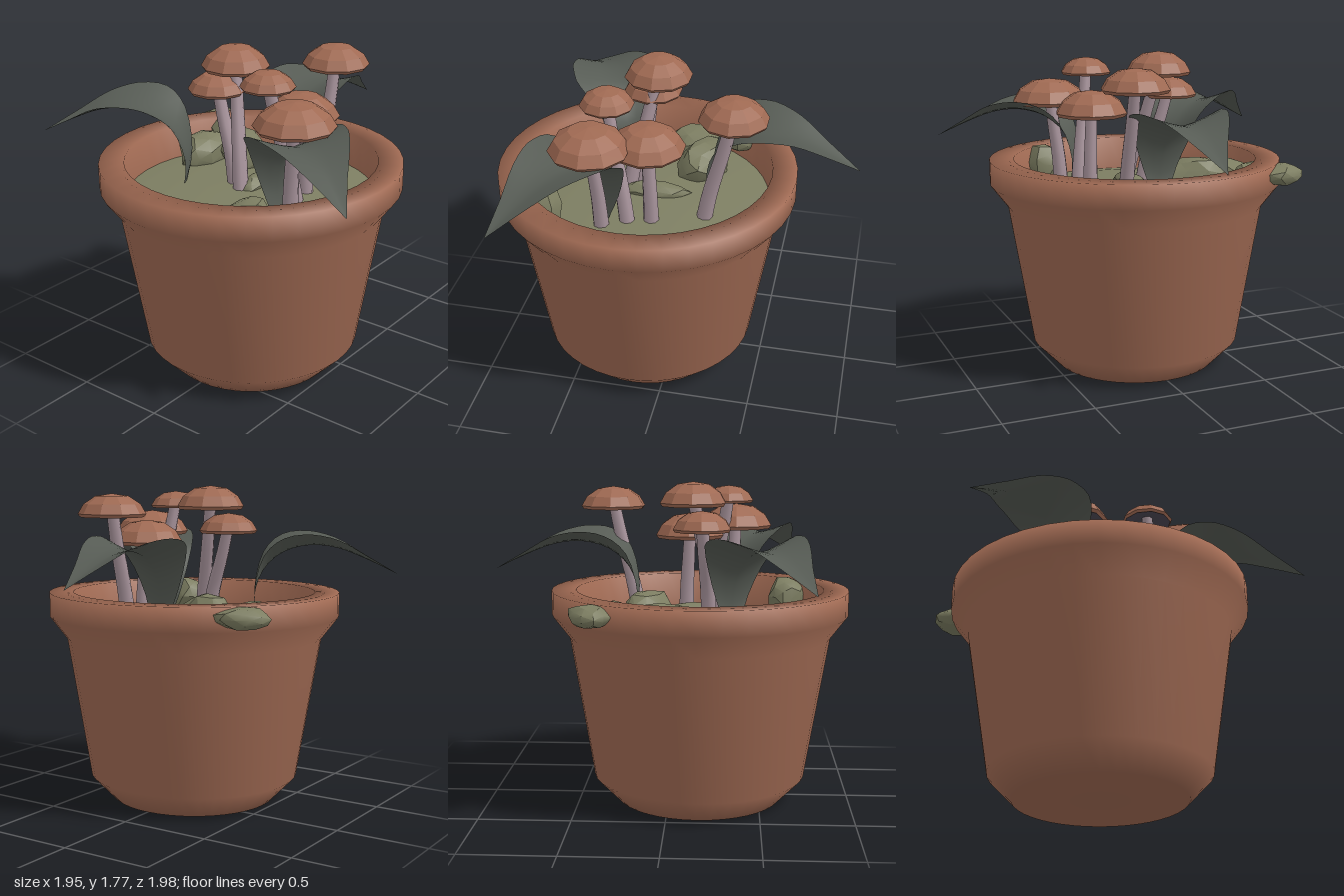
import * as THREE from 'three';
import { mergeVertices, toCreasedNormals } from 'three/addons/utils/BufferGeometryUtils.js';

const paint = (name, color, extra = {}) => {
  const m = new THREE.MeshStandardMaterial({ color, ...extra });
  m.name = name;
  return m;
};
const terracotta = paint('terracotta', 0xa06a53);
const moss = paint('mossy soil', 0x7d7e62);
const leafGreen = paint('leaf grey green', 0x565b54, { side: THREE.DoubleSide });
const stemMauve = paint('stem mauve', 0xa8949c);
const gillDark = paint('gill plum', 0x4c4753);

const POT_X = -0.165;

const lathe = (pts, sides) =>
  new THREE.LatheGeometry(pts.map(([x, y]) => new THREE.Vector2(x, y)), sides);

function facet(geo) {
  const g = geo.toNonIndexed();
  g.computeVertexNormals();
  return g;
}

function add(parent, name, geo, mat) {
  const mesh = new THREE.Mesh(geo, mat);
  mesh.name = name;
  parent.add(mesh);
  return mesh;
}

// Mushroom: bent tapering stem, faceted cap, hollow gills
function mushroom(x, y, z, r, h, bx, bz) {
  const g = new THREE.Group();
  g.name = 'mushroom';
  const top = new THREE.Vector3(x, y + h * 0.4, z);
  const path = new THREE.CatmullRomCurve3([
    new THREE.Vector3(bx, 0.97, bz),
    new THREE.Vector3(bx + (x - bx) * 0.25, 1.18, bz + (z - bz) * 0.25),
    new THREE.Vector3(bx + (x - bx) * 0.7, 1.18 + (top.y - 1.18) * 0.55, bz + (z - bz) * 0.7),
    top,
  ]);
  const rows = 8, sides = 8;
  const tube = new THREE.TubeGeometry(path, rows, 0.038, sides);
  const pos = tube.attributes.position, v = new THREE.Vector3();
  for (let i = 0; i < pos.count; i++) {
    const t = Math.floor(i / (sides + 1)) / rows;
    const c = path.getPointAt(t);
    v.fromBufferAttribute(pos, i).sub(c).multiplyScalar(1.15 - 0.3 * t).add(c);
    pos.setXYZ(i, v.x, v.y, v.z);
  }
  add(g, 'stem', tube, stemMauve);
  const cap = lathe([[0.93 * r, 0], [r, 0.14 * h], [0.83 * r, 0.56 * h], [0.48 * r, 0.9 * h], [0, h]], 10);
  add(g, 'cap', facet(cap), terracotta).position.set(x, y, z);
  const gills = lathe([[0, 0.35 * h], [0.5 * r, 0.28 * h], [0.93 * r, 0]], 10);
  add(g, 'gills', facet(gills), gillDark).position.set(x, y, z);
  return g;
}

// Leaf: arching blade folded into a V; stations hold reach, height, half width, edge lift
function leafGeometry() {
  const stations = [
    [0.37, 0.98, 0.03, 0.0], [0.34, 1.14, 0.10, 0.04], [0.39, 1.3, 0.19, 0.09],
    [0.5, 1.4, 0.25, 0.09], [0.65, 1.44, 0.232, 0.07], [0.8, 1.425, 0.17, 0.05],
    [0.96, 1.365, 0.085, 0.02], [1.14, 1.28, 0.002, 0.0],
  ];
  const spine = new THREE.CatmullRomCurve3(stations.map(s => new THREE.Vector3(s[0], s[1], 0)));
  const form = new THREE.CatmullRomCurve3(stations.map(s => new THREE.Vector3(s[2], s[3], 0)));
  const rows = 21, cols = 6;
  const geo = new THREE.PlaneGeometry(1, 1, cols, rows);
  const pos = geo.attributes.position;
  for (let i = 0; i < pos.count; i++) {
    const t = Math.floor(i / (cols + 1)) / rows;
    const u = ((i % (cols + 1)) / cols) * 2 - 1;
    const c = spine.getPoint(t), f = form.getPoint(t);
    const skew = -0.015 * Math.sin(Math.PI * t);
    pos.setXYZ(i, c.x, c.y + f.y * Math.pow(Math.abs(u), 1.3), u * f.x + skew);
  }
  geo.computeVertexNormals();
  return geo;
}

// Rock: icosahedron with seeded dents
function rockGeometry(seed) {
  const g = new THREE.IcosahedronGeometry(1, 1);
  g.deleteAttribute('uv');
  g.deleteAttribute('normal');
  const rock = mergeVertices(g, 1e-3);
  const p = rock.attributes.position;
  for (let i = 0; i < p.count; i++) {
    const n = Math.sin(seed * 12.9 + i * 78.233) * 43758.5453;
    const s = 0.86 + 0.2 * (n - Math.floor(n));
    p.setXYZ(i, p.getX(i) * s, p.getY(i) * s, p.getZ(i) * s);
  }
  return toCreasedNormals(rock, 0.5);
}

export function createModel() {
  const model = new THREE.Group();
  model.name = 'mushroom pot';

  // Pot with a flared collar and an open rim
  const pot = lathe([
    [0, 0], [0.46, 0], [0.59, 0.135], [0.72, 0.925], [0.815, 1.05],
    [0.815, 1.182], [0.68, 1.182], [0.665, 0.9],
  ], 40);
  add(model, 'pot', pot, terracotta).position.x = POT_X;

  // Gently domed soil
  const soil = lathe([[0.675, 0.99], [0.5, 1.015], [0.25, 1.035], [0, 1.04]], 32);
  add(model, 'soil', soil, moss).position.x = POT_X;

  // Rocks: position, half sizes, turn
  const rocks = [
    [0.03, 1.06, -0.49, 0.2, 0.11, 0.14, 0.1],
    [0.1, 1.08, -0.26, 0.13, 0.13, 0.2, -0.4],
    [0.27, 1.11, -0.52, 0.11, 0.08, 0.11, 0.5],
    [0.37, 1.125, -0.63, 0.12, 0.06, 0.16, 0.25],
    [-0.66, 1.09, 0.37, 0.11, 0.12, 0.12, 0.3],
    [-0.12, 1.04, 0.04, 0.2, 0.06, 0.07, 0.1],
  ];
  rocks.forEach(([x, y, z, sx, sy, sz, turn], i) => {
    const rock = add(model, 'rock', rockGeometry(i + 1), moss);
    rock.position.set(x, y, z);
    rock.scale.set(sx, sy, sz);
    rock.rotation.y = turn;
  });

  // Three leaves fanned evenly round the pot
  const blade = leafGeometry();
  for (let i = 0; i < 3; i++) {
    const leaf = add(model, 'leaf', blade, leafGreen);
    leaf.position.x = POT_X;
    leaf.rotation.y = (i * Math.PI * 2) / 3;
  }

  // Mushrooms: cap x, y, z, radius, height, then stem base x, z
  const caps = [
    [-0.365, 1.48, 0.43, 0.212, 0.14, -0.33, 0.38],
    [-0.32, 1.64, 0.23, 0.143, 0.095, -0.2, 0.33],
    [-0.1, 1.435, 0.28, 0.2, 0.14, -0.08, 0.3],
    [-0.13, 1.64, -0.13, 0.183, 0.13, -0.28, 0.02],
    [-0.18, 1.51, -0.215, 0.16, 0.11, -0.22, -0.06],
    [0.33, 1.605, 0.2, 0.183, 0.125, 0.18, 0.2],
  ];
  caps.forEach(c => model.add(mushroom(...c)));

  return model;
}
